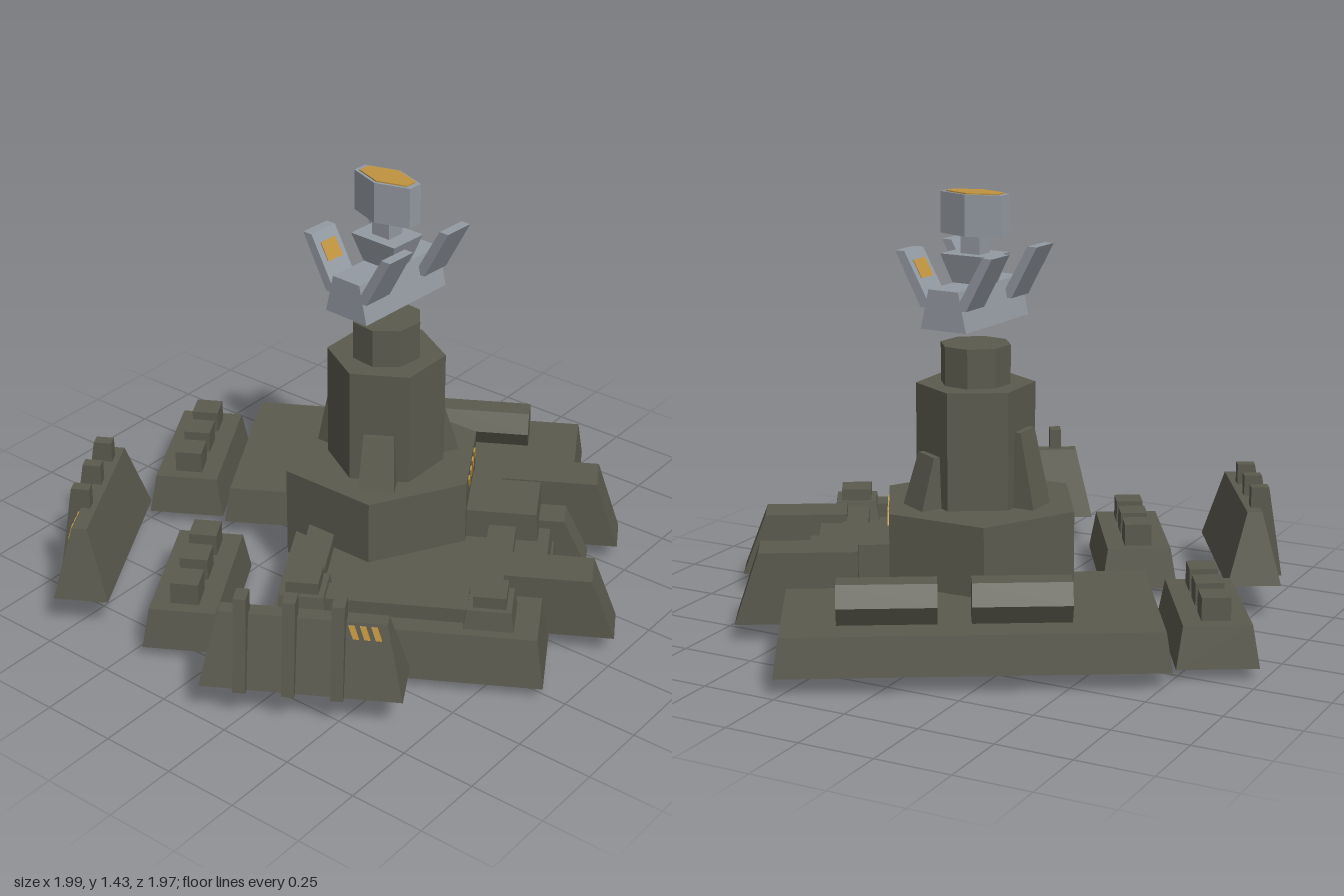
import * as THREE from 'three';

const olive = new THREE.MeshStandardMaterial({ color: 0x5b5a4e });
olive.name = 'dark olive';
const grey = new THREE.MeshStandardMaterial({ color: 0x949aa2 });
grey.name = 'light grey';
const gold = new THREE.MeshStandardMaterial({ color: 0xc0933f });
gold.name = 'gold';

function add(parent, name, geo, mat = olive) {
  const flat = geo.index ? geo.toNonIndexed() : geo;
  flat.computeVertexNormals();
  const mesh = new THREE.Mesh(flat, mat);
  mesh.name = name;
  parent.add(mesh);
  return mesh;
}

function group(parent, name, x = 0, y = 0, z = 0, turn = 0) {
  const g = new THREE.Group();
  g.name = name;
  g.position.set(x, y, z);
  g.rotation.y = turn;
  parent.add(g);
  return g;
}

// Box whose bottom and top rectangles [x0, x1, z0, z1] may differ
function taper(y0, y1, bottom, top = bottom) {
  const geo = new THREE.BoxGeometry(1, 1, 1);
  const p = geo.attributes.position;
  for (let i = 0; i < p.count; i++) {
    const r = p.getY(i) > 0 ? top : bottom;
    p.setXYZ(i, p.getX(i) > 0 ? r[1] : r[0], p.getY(i) > 0 ? y1 : y0, p.getZ(i) > 0 ? r[3] : r[2]);
  }
  return geo;
}

const inset = ([x0, x1, z0, z1], d) => [x0 + d, x1 - d, z0 + d, z1 - d];

function prism(r, y0, y1, sides, turn) {
  return new THREE.CylinderGeometry(r, r, y1 - y0, sides).rotateY(turn).translate(0, (y0 + y1) / 2, 0);
}

// Sloped barrier with outer ribs; the outer side is -z
function barrier(parent, x, z, turn) {
  const g = group(parent, 'barrier', x, 0, z, turn);
  add(g, 'barrierWall', taper(0.12, 0.36, [-0.315, 0.315, -0.09, 0.09], [-0.26, 0.26, -0.03, 0.02]));
  for (const rx of [-0.115, 0.035, 0.185]) {
    add(g, 'barrierRib', taper(0.12, 0.43, [rx - 0.02, rx + 0.02, -0.11, 0], [rx - 0.02, rx + 0.02, -0.06, 0]));
  }
  for (const sx of [-0.235, -0.2, -0.165]) {
    add(g, 'barrierStripe', taper(0.31, 0.35, [sx - 0.01, sx + 0.008, -0.048, -0.04],
      [sx + 0.005, sx + 0.023, -0.038, -0.03]), gold);
  }
}

// Low block carrying three small boxes
function supplyBlock(parent, x, z) {
  const g = group(parent, 'supplyBlock', x, 0, z);
  const foot = [-0.255, 0.255, -0.13, 0.13];
  add(g, 'blockBody', taper(0.04, 0.175, foot, inset(foot, 0.022)));
  for (const bx of [-0.145, 0, 0.145]) {
    add(g, 'blockBox', taper(0.17, 0.25, [bx - 0.046, bx + 0.046, -0.046, 0.046]));
  }
}

function buildBase(root) {
  const base = group(root, 'base', 0.06, 0, 0.045, Math.PI / 6);

  // Floor slabs
  add(base, 'foundation', taper(0, 0.15, [-0.17, 0.145, -0.12, 0.61], [-0.17, 0.145, -0.12, 0.59]));
  const right = [0.05, 0.7, -0.56, 0.65];
  add(base, 'rightSlab', taper(0.06, 0.185, right, inset(right, 0.018)));
  const left = [-0.735, 0.06, -0.29, 0.6];
  add(base, 'leftSlab', taper(0.04, 0.2, left, [-0.705, 0.06, -0.265, 0.575]));

  // Hexagonal plinth with hazard stripes
  add(base, 'plinth', prism(0.345, 0.1, 0.42, 6, Math.PI / 6));
  for (let i = 0; i < 4; i++) {
    const x = -0.095 + i * 0.06;
    add(base, 'plinthStripe', taper(0.365, 0.403, [x, x + 0.03, 0.295, 0.304],
      [x - 0.02, x + 0.01, 0.295, 0.304]), gold);
  }

  // Front entrance and struts
  add(base, 'entranceBlock', taper(0.1, 0.3, [-0.145, 0.12, 0.25, 0.545], [-0.14, 0.115, 0.25, 0.53]));
  for (const [x0, x1, z0, z1, y] of [[-0.47, -0.33, 0.45, 0.81, 0.275],
    [0.07, 0.21, 0.4, 0.8, 0.305], [-0.06, 0.045, 0.4, 0.7, 0.23]]) {
    add(base, 'frontStrut', taper(0.065, y, [x0, x1, z0, z1], [x0, x1, z0, z1 - 0.08]));
  }

  // Corner pedestals and the conduits between them and the plinth
  for (const z of [-0.17, 0.42]) {
    const foot = [-0.675, -0.51, z - 0.082, z + 0.082];
    add(base, 'pedestalFoot', taper(0.18, 0.265, foot, inset(foot, 0.012)));
    add(base, 'pedestalTop', taper(0.26, 0.305, inset(foot, 0.03)));
    add(base, 'conduit', taper(0.18, 0.25, [-0.55, -0.1, z - 0.045, z + 0.045]));
  }
  add(base, 'conduit', taper(0.18, 0.25, [-0.64, -0.55, -0.17, 0.42]));

  // Hexagonal tanks
  for (const z of [-0.11, 0.305]) {
    const tank = new THREE.CylinderGeometry(0.075, 0.075, 0.31, 6).rotateY(Math.PI / 6).rotateX(Math.PI / 2);
    add(base, 'tank', tank).position.set(0.54, 0.25, z);
  }

  // Detached outer pieces
  supplyBlock(base, 0.365, -0.71);
  supplyBlock(base, -0.435, -0.553);
  barrier(base, -0.262, -0.91, 0);
  barrier(base, -0.879, -0.125, Math.PI / 2);
}

function buildTower(root) {
  const tower = group(root, 'tower', 0.05, 0, 0.065);
  add(tower, 'towerShaft', prism(0.195, 0.4, 0.81, 6, Math.PI / 6));
  add(tower, 'towerCap', prism(0.117, 0.81, 0.94, 8, 0.26));
  for (const [turn, top] of [[Math.PI, 0.67], [Math.PI / 3, 0.59], [-Math.PI / 3, 0.59]]) {
    const g = group(tower, 'buttress', 0, 0, 0, turn);
    add(g, 'buttressWedge', taper(0.41, top, [-0.06, 0.06, 0.14, 0.245], [-0.05, 0.05, 0.14, 0.19]));
  }
}

// Long hexagon outline, pointed at the sides
function headPlate(s, y0, y1) {
  const pts = [[0.064, 0], [0.026, 0.115], [-0.026, 0.115], [-0.064, 0], [-0.026, -0.115], [0.026, -0.115]];
  const shape = new THREE.Shape(pts.map(([x, z]) => new THREE.Vector2(x * s, z * s)));
  return new THREE.ExtrudeGeometry(shape, { depth: y1 - y0, bevelEnabled: false })
    .rotateX(-Math.PI / 2).translate(0, y0, 0);
}

function buildTurret(root) {
  const turret = group(root, 'floatingTurret', 0.045, 0, 0.068, -0.06);
  add(turret, 'turretBody', taper(1.01, 1.14, [-0.195, 0.195, -0.085, 0.085], [-0.195, 0.195, -0.055, 0.055]), grey);
  add(turret, 'neckFunnel', taper(1.09, 1.235, [-0.035, 0.035, -0.04, 0.04], [-0.07, 0.07, -0.09, 0.09]), grey);
  add(turret, 'neck', taper(1.22, 1.3, [-0.032, 0.032, -0.036, 0.036]), grey);
  add(turret, 'head', headPlate(1, 1.295, 1.43), grey);
  add(turret, 'headPanel', headPlate(0.84, 1.43, 1.434), gold);

  // Four panels leaning outward, gold patches on their inner faces
  for (const turn of [0, Math.PI]) {
    const side = group(turret, 'panelPair', 0, 0, 0, turn);
    for (const x of [-0.14, 0.14]) {
      add(side, 'panel', taper(1.08, 1.255, [x - 0.055, x + 0.055, 0.045, 0.085],
        [x - 0.055, x + 0.055, 0.145, 0.18]), grey);
      add(side, 'panelPatch', taper(1.17, 1.225, [x - 0.033, x + 0.033, 0.093, 0.099],
        [x - 0.033, x + 0.033, 0.124, 0.13]), gold);
    }
  }
}

export function createModel() {
  const root = new THREE.Group();
  root.name = 'fortifiedTower';
  buildBase(root);
  buildTower(root);
  buildTurret(root);
  return root;
}
